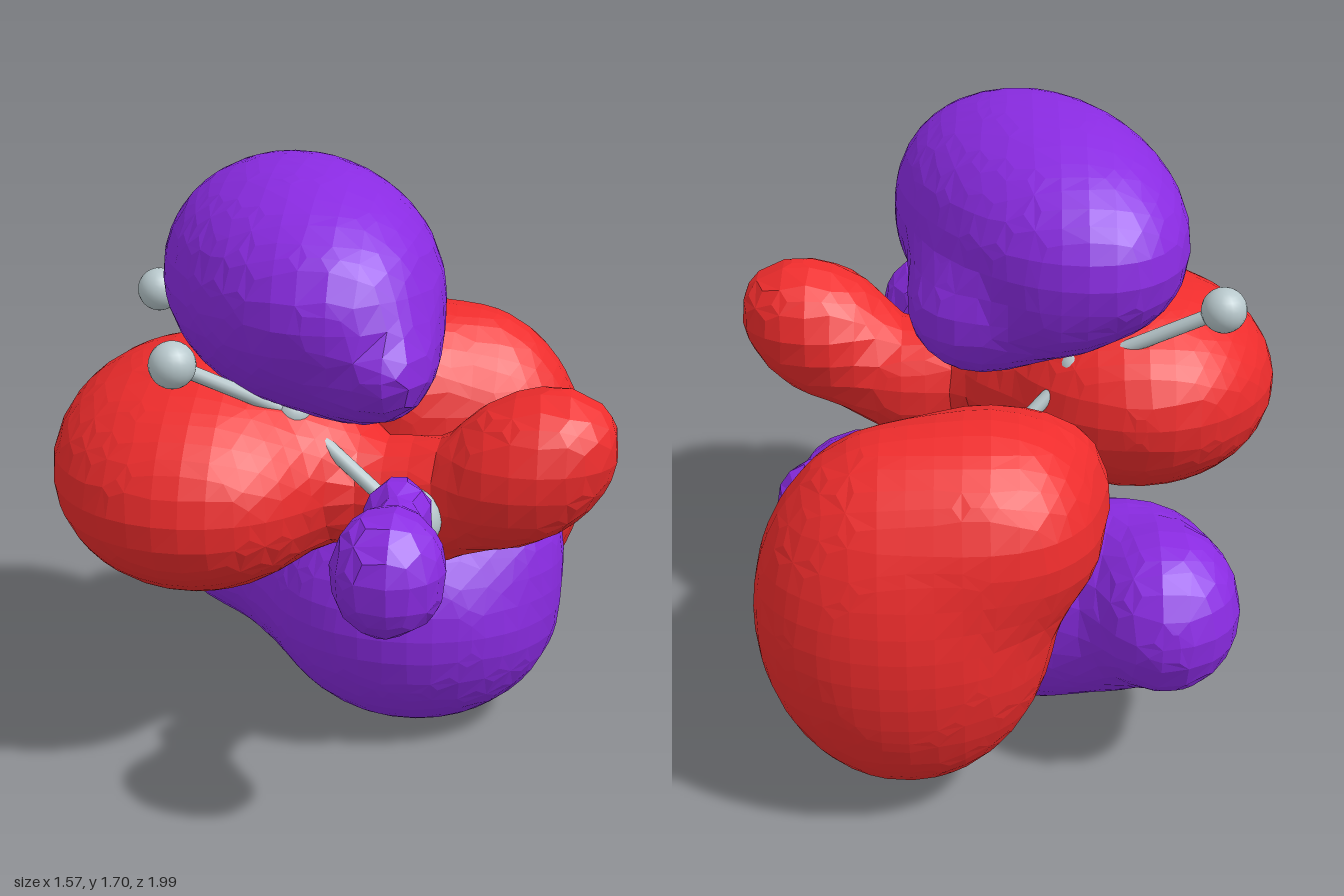
import * as THREE from 'three';

const RED = 0xee2c2c, PURPLE = 0x8a2be2, GREY = 0xb8c8cc;
const CELL = 0.07, BLEND = 0.08, SWELL = 0.01;

// Each blob: [centre, radii, optional Euler rotation]
const LOBES = [
  { name: 'upperLobe', color: PURPLE, blobs: [
    [[-0.09, 1.385, 0.15], [0.36, 0.32, 0.575], [0, 0.41, 0]],
    [[0.03, 1.26, 0.18], [0.21, 0.21, 0.55], [0, 0.38, 0]],
    [[0.07, 1.2, -0.03], [0.2, 0.18, 0.24]],
  ] },
  { name: 'leftLobe', color: RED, blobs: [
    [[-0.36, 0.87, 0.21], [0.41, 0.31, 0.485], [0.15, 0.15, 0]],
    [[-0.03, 0.88, 0.22], [0.17, 0.2, 0.22]],
    [[0.25, 0.81, 0.29], [0.23, 0.165, 0.165]],
    [[0.545, 0.94, 0.355], [0.26, 0.185, 0.2], [0, 0, 0.6]],
  ] },
  { name: 'lowerLobe', color: PURPLE, blobs: [
    [[0.2, 0.385, -0.06], [0.42, 0.36, 0.38], [-0.4, 0, 0]],
    [[0.42, 0.56, -0.08], [0.2, 0.22, 0.24]],
    [[0.55, 0.68, -0.25], [0.085, 0.11, 0.1]],
    [[-0.08, 0.38, -0.25], [0.44, 0.28, 0.28], [0, -0.65, -0.3]],
    [[-0.34, 0.45, -0.36], [0.26, 0.25, 0.25]],
    [[-0.42, 0.52, -0.55], [0.195, 0.215, 0.225]],
  ] },
  { name: 'backLobe', color: RED, blobs: [
    [[0.27, 0.6, -0.665], [0.39, 0.5, 0.325]],
    [[0.06, 0.83, -0.63], [0.3, 0.29, 0.31]],
    [[-0.09, 0.87, -0.52], [0.16, 0.18, 0.13]],
    [[0.27, 0.23, -0.55], [0.2, 0.18, 0.17]],
  ] },
  { name: 'smallFrontLobe', color: PURPLE, blobs: [
    [[0.25, 0.815, 0.835], [0.138, 0.157, 0.15]],
    [[0.25, 0.85, 0.63], [0.05, 0.08, 0.16]],
    [[0.23, 0.86, 0.55], [0.075, 0.085, 0.06]],
  ] },
];

// Smoothly blended distance to a set of rotated ellipsoids
function makeField(blobs) {
  const items = blobs.map(([c, r, e = [0, 0, 0]]) => ({
    c: new THREE.Vector3(...c),
    r: new THREE.Vector3(...r),
    q: new THREE.Quaternion().setFromEuler(new THREE.Euler(...e)).invert(),
  }));
  const v = new THREE.Vector3();
  return (x, y, z) => {
    let d = 10;
    for (const { c, r, q } of items) {
      v.set(x, y, z).sub(c).applyQuaternion(q).divide(r);
      const k0 = v.length();
      const k1 = v.divide(r).length();
      const e = k1 < 1e-6 ? -Math.min(r.x, r.y, r.z) : k0 * (k0 - 1) / k1;
      const h = Math.max(BLEND - Math.abs(d - e), 0) / BLEND;
      d = Math.min(d, e) - h * h * BLEND * 0.25;
    }
    return d - SWELL;
  };
}

// Move a point along the field's slope onto the surface
function settle(field, p) {
  const s = 0.004;
  for (let n = 0; n < 3; n++) {
    const d = field(...p);
    const grad = p.map((_, a) => {
      const hi = [...p], lo = [...p];
      hi[a] += s;
      lo[a] -= s;
      return (field(...hi) - field(...lo)) / (2 * s);
    });
    const len2 = Math.max(grad.reduce((t, g) => t + g * g, 0), 0.3);
    p = p.map((c, a) => c - d * grad[a] / len2);
  }
  return p;
}

// Faceted skin of the field: one vertex per crossed grid cell, one quad per crossed edge
function skin(blobs) {
  const field = makeField(blobs);
  const box = new THREE.Box3();
  for (const [c, r] of blobs) {
    const m = Math.max(...r) + 2 * CELL;
    box.expandByPoint(new THREE.Vector3(...c).addScalar(m));
    box.expandByPoint(new THREE.Vector3(...c).addScalar(-m));
  }
  const o = box.min.toArray();
  const n = box.getSize(new THREE.Vector3()).toArray().map(s => Math.ceil(s / CELL) + 1);
  const step = [1, n[0], n[0] * n[1]];
  const val = new Float32Array(n[0] * n[1] * n[2]);
  const eachCell = (fn) => {
    for (let k = 0; k < n[2]; k++)
      for (let j = 0; j < n[1]; j++)
        for (let i = 0; i < n[0]; i++) fn([i, j, k], i + j * step[1] + k * step[2]);
  };
  eachCell((g, id) => { val[id] = field(...g.map((t, a) => o[a] + t * CELL)); });

  const pos = [], index = [], vert = new Map();
  eachCell((g, id) => {
    if (g.some((t, a) => t === n[a] - 1)) return;
    const sum = [0, 0, 0];
    let count = 0;
    for (let a = 0; a < 3; a++) {
      const b = (a + 1) % 3, c = (a + 2) % 3;
      for (let s = 0; s < 4; s++) {
        const u = s & 1, w = s >> 1;
        const p = id + u * step[b] + w * step[c];
        const v0 = val[p], v1 = val[p + step[a]];
        if ((v0 < 0) === (v1 < 0)) continue;
        sum[a] += v0 / (v0 - v1);
        sum[b] += u;
        sum[c] += w;
        count++;
      }
    }
    if (!count) return;
    vert.set(id, pos.length / 3);
    pos.push(...settle(field, g.map((t, a) => o[a] + (t + sum[a] / count) * CELL)));
  });
  eachCell((g, id) => {
    for (let a = 0; a < 3; a++) {
      const b = (a + 1) % 3, c = (a + 2) % 3;
      if (g[a] === n[a] - 1 || g[b] === 0 || g[c] === 0) continue;
      const inside = val[id] < 0;
      if (inside === (val[id + step[a]] < 0)) continue;
      const q = [id - step[b] - step[c], id - step[c], id, id - step[b]].map(t => vert.get(t));
      if (!inside) q.reverse();
      index.push(q[0], q[1], q[2], q[0], q[2], q[3]);
    }
  });
  const geo = new THREE.BufferGeometry();
  geo.setAttribute('position', new THREE.Float32BufferAttribute(pos, 3));
  geo.setIndex(index);
  geo.computeVertexNormals();
  return geo;
}

export function createModel() {
  const model = new THREE.Group();
  const add = (name, geo, mat) => {
    const mesh = new THREE.Mesh(geo, mat);
    mesh.name = name;
    model.add(mesh);
    return mesh;
  };

  // Coloured lobes
  for (const { name, color, blobs } of LOBES)
    add(name, skin(blobs), new THREE.MeshStandardMaterial({ color, flatShading: true }));

  // Ball-and-stick frame: a chain of four large atoms with small ones attached
  const grey = new THREE.MeshStandardMaterial({ color: GREY });
  const chain = [[0.25, 0.82, 0.48], [-0.08, 1.06, 0.36], [-0.19, 1.03, -0.11], [0.25, 0.62, -0.31]];
  const ends = [
    [0, [0.22, 0.54, 0.29]], [0, [0.25, 0.82, 0.82]],
    [1, [-0.355, 1.24, 0.56]], [2, [-0.585, 1.24, -0.2]],
    [3, [0.53, 0.66, -0.29]], [3, [0.24, 0.27, -0.43]],
  ];
  const atom = (name, p, r) =>
    add(name, new THREE.SphereGeometry(r, 20, 14), grey).position.set(...p);
  const bond = (p, q) => {
    const a = new THREE.Vector3(...p), b = new THREE.Vector3(...q);
    const dir = b.clone().sub(a);
    const stick = add('bond', new THREE.CylinderGeometry(0.02, 0.02, dir.length(), 12), grey);
    stick.position.copy(a).add(b).multiplyScalar(0.5);
    stick.quaternion.setFromUnitVectors(new THREE.Vector3(0, 1, 0), dir.normalize());
  };
  chain.forEach((p, i) => {
    atom('largeAtom', p, i === 0 ? 0.09 : 0.05);
    if (i) bond(chain[i - 1], p);
  });
  for (const [i, p] of ends) {
    atom('smallAtom', p, 0.063);
    bond(chain[i], p);
  }
  return model;
}
